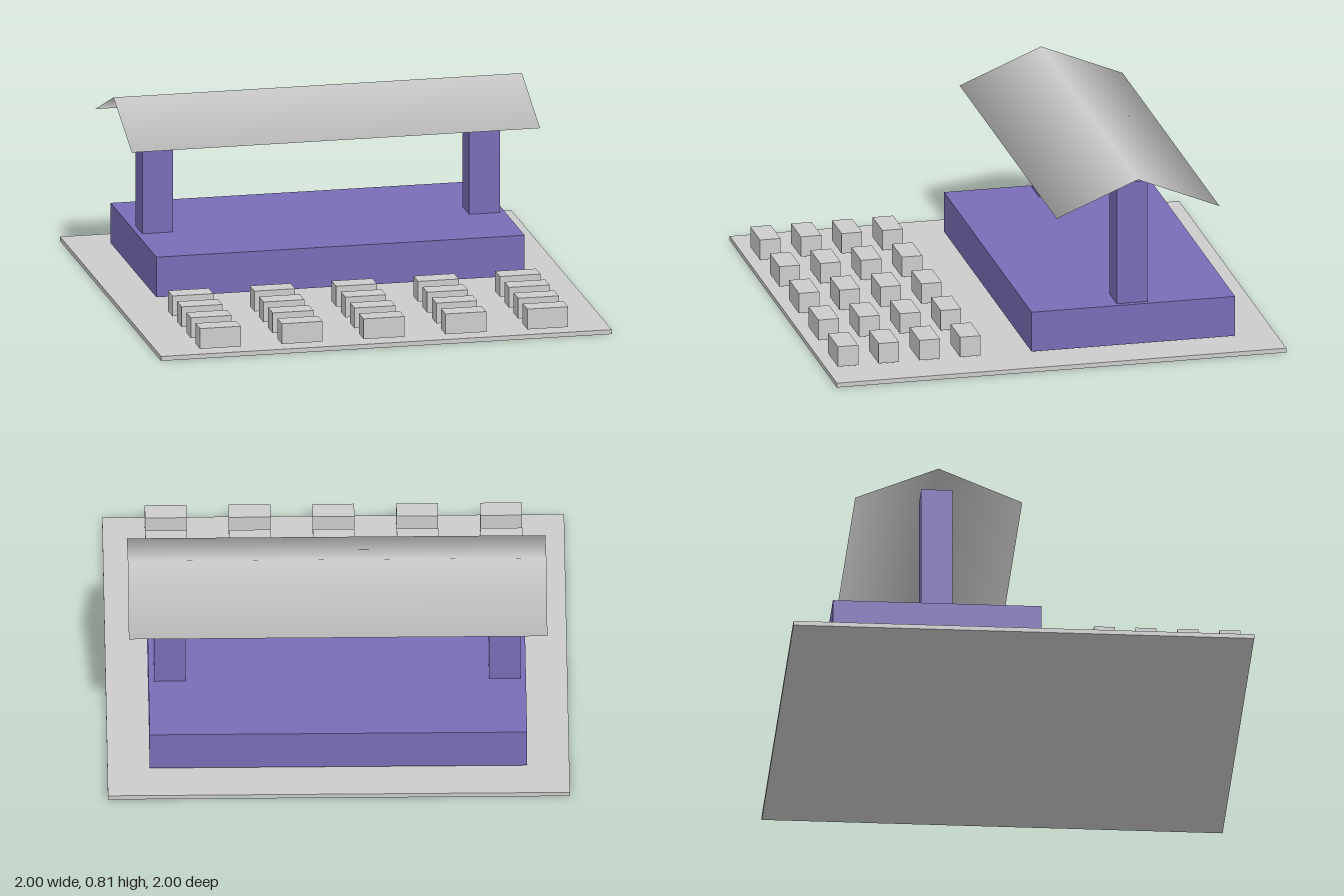
import * as THREE from 'three';

export function createModel() {
  const model = new THREE.Group();
  const grey = new THREE.MeshStandardMaterial({ color: 0xcccccc });
  grey.name = 'light grey';
  const roofGrey = new THREE.MeshStandardMaterial({ color: 0xcccccc, side: THREE.DoubleSide });
  roofGrey.name = 'roof grey';
  const purple = new THREE.MeshStandardMaterial({ color: 0x796cb6 });
  purple.name = 'purple';

  const add = (name, geometry, material, x, y, z) => {
    const mesh = new THREE.Mesh(geometry, material);
    mesh.name = name;
    mesh.position.set(x, y, z);
    model.add(mesh);
  };

  // Ground slab and raised stage
  add('ground', new THREE.BoxGeometry(2, 0.02, 2), grey, 0, 0.01, 0);
  add('stage', new THREE.BoxGeometry(1.634, 0.18, 0.906), purple, 0, 0.12, -0.363);

  // Two pillars holding the roof
  const pillar = new THREE.BoxGeometry(0.136, 0.553, 0.136);
  for (const side of [-1, 1]) add('pillar', pillar, purple, side * 0.725, 0.4865, -0.363);

  // Thin two-sided roof sheet: half a tube of two facets, flattened, with rounded normals
  const roof = new THREE.CylinderGeometry(1, 1, 1.812, 2, 1, true, 0, Math.PI);
  roof.rotateZ(Math.PI / 2);
  roof.scale(1, 0.15, 0.3625);
  add('roof', roof, roofGrey, 0, 0.661, -0.363);

  // Rows of seats facing the stage
  const seat = new THREE.BoxGeometry(0.181, 0.091, 0.091);
  for (let row = 0; row < 4; row++) {
    for (let col = -2; col <= 2; col++) {
      add('seat', seat, grey, col * 0.363, 0.0755, 0.362 + row * 0.1815);
    }
  }
  return model;
}
